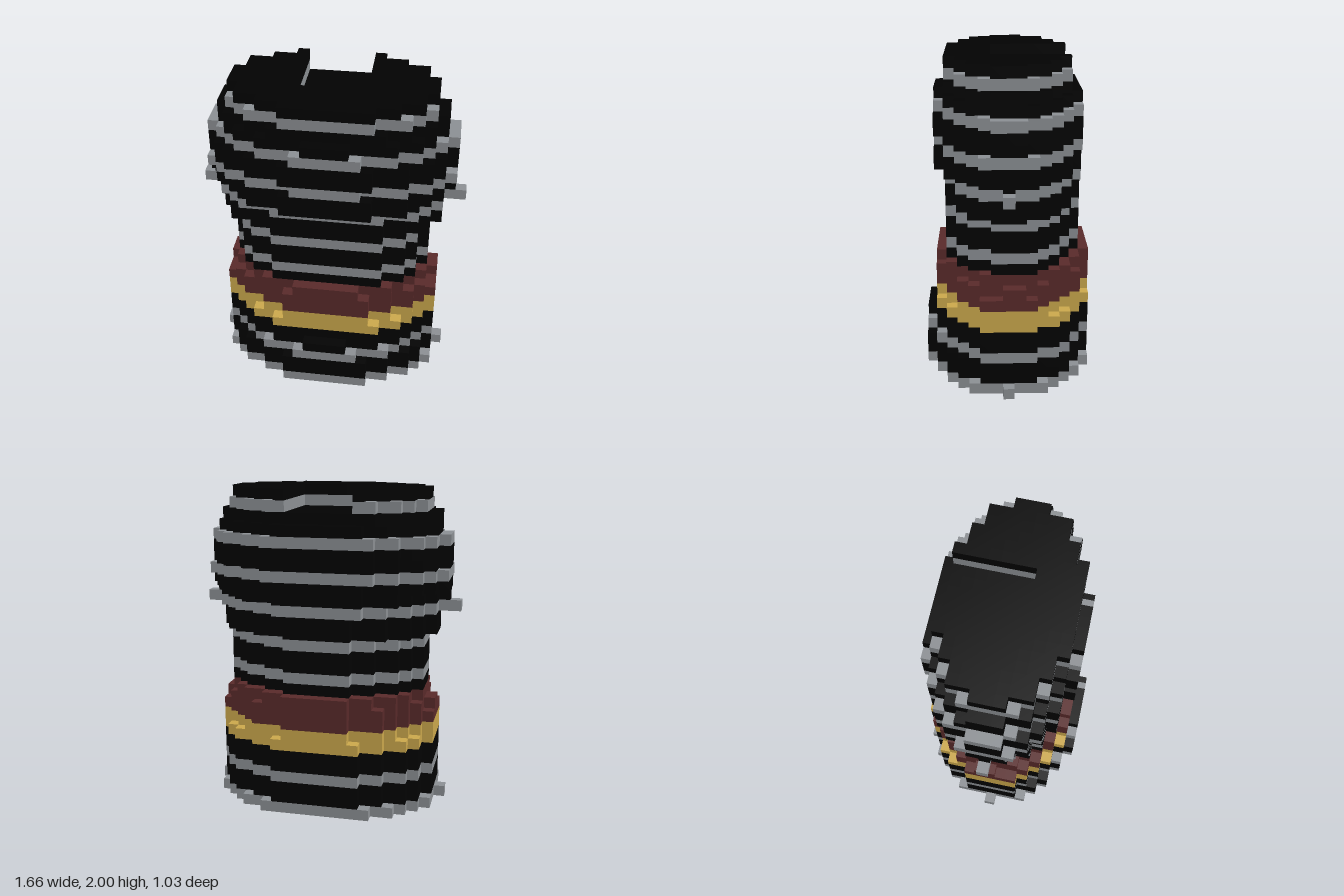
import * as THREE from 'three';

const N = 29;        // layers in the full height
const U = 2 / N;     // edge of one block

// Torso cross-sections: [first layer, half width, front depth, back depth], in blocks
const sections = [
  [0, 10.55, 7.5, 7.9], [1, 10.1, 7.55, 7.8], [3, 10, 7.3, 7.75], [4, 10, 7.15, 7.7],
  [5, 10, 6.9, 7.65], [7, 10, 6.5, 7.4], [9, 9.6, 6.55, 7.4], [10, 9, 6.4, 7.4],
  [11, 9, 5.9, 6.3], [16, 9.9, 5.9, 6.3], [18, 10.4, 5.8, 6.4],
  [19, 10.55, 6.4, 6.6], [20, 10.8, 6.4, 6.6], [21, 11.2, 6.3, 6.6], [22, 10.9, 6.5, 6.6],
  [24, 10.7, 6.25, 6.72], [25, 10, 6.1, 6.55], [26, 10, 5.95, 5.95],
  [27, 9.3, 5.65, 6], [28, 9, 5.6, 5.6],
];

// Coloured bands from the hem up: [name, material, layers]
const bands = [
  ['hemStripe', 'grey', 1], ['hipCloth', 'black', 2], ['hipStripe', 'grey', 1],
  ['lowerCloth', 'black', 2], ['goldBelt', 'gold', 2], ['maroonBelt', 'maroon', 3],
  ['waistCloth', 'black', 1], ['waistStripe', 'grey', 1], ['bellyCloth', 'black', 2],
  ['bellyStripe', 'grey', 1], ['ribCloth', 'black', 2], ['ribStripe', 'grey', 1],
  ['chestCloth', 'black', 2], ['chestStripe', 'grey', 1], ['upperChestCloth', 'black', 2],
  ['upperChestStripe', 'grey', 1], ['shoulderCloth', 'black', 2],
  ['collarStripe', 'grey', 1], ['collarCloth', 'black', 1],
];

// Whether a block exists at column i, layer j, row k
function solid(i, j, k) {
  if (j < 0 || j >= N) return false;
  const x = Math.abs(i + 0.5);
  if (j >= 27 && x < 3 && k <= 1) return false; // neck slot, open at the back
  if (j === 18 && k === 0 && x < 12) return true; // tabs at the sides of the ribs
  const [, a, front, back] = sections.findLast((s) => s[0] <= j);
  const t = k / (k > 0 ? front : back);
  return Math.abs(t) < 1 && x < Math.round(a * Math.sqrt(1 - t * t));
}

// Outward direction with the two face axes (u cross v = direction)
const sides = [
  [[1, 0, 0], [0, 1, 0], [0, 0, 1]], [[-1, 0, 0], [0, 0, 1], [0, 1, 0]],
  [[0, 1, 0], [0, 0, 1], [1, 0, 0]], [[0, -1, 0], [1, 0, 0], [0, 0, 1]],
  [[0, 0, 1], [1, 0, 0], [0, 1, 0]], [[0, 0, -1], [0, 1, 0], [1, 0, 0]],
];

// Exposed block faces of the layers from j0 up to j1
function bandGeometry(j0, j1) {
  const pos = [], nor = [], idx = [];
  for (let j = j0; j < j1; j++) for (let k = -8; k <= 8; k++) for (let i = -13; i < 13; i++) {
    if (!solid(i, j, k)) continue;
    const c = [i + 0.5, j + 0.5, k];
    for (const [n, u, v] of sides) {
      if (solid(i + n[0], j + n[1], k + n[2])) continue;
      const b = pos.length / 3;
      for (const [s, t] of [[-1, -1], [1, -1], [1, 1], [-1, 1]]) {
        for (let d = 0; d < 3; d++) pos.push((c[d] + (n[d] + s * u[d] + t * v[d]) / 2) * U);
        nor.push(...n);
      }
      idx.push(b, b + 1, b + 2, b, b + 2, b + 3);
    }
  }
  const g = new THREE.BufferGeometry();
  g.setAttribute('position', new THREE.Float32BufferAttribute(pos, 3));
  g.setAttribute('normal', new THREE.Float32BufferAttribute(nor, 3));
  g.setIndex(idx);
  return g;
}

export function createModel() {
  const colours = { black: 0x020202, grey: 0x8c9094, gold: 0xcba84c, maroon: 0x592a2a };
  const materials = {};
  for (const [name, color] of Object.entries(colours)) {
    materials[name] = new THREE.MeshStandardMaterial({ color });
    materials[name].name = name;
  }

  const torso = new THREE.Group();
  torso.name = 'stripedTorso';
  let layer = 0;
  for (const [name, material, count] of bands) {
    const mesh = new THREE.Mesh(bandGeometry(layer, layer + count), materials[material]);
    mesh.name = name;
    torso.add(mesh);
    layer += count;
  }
  return torso;
}
